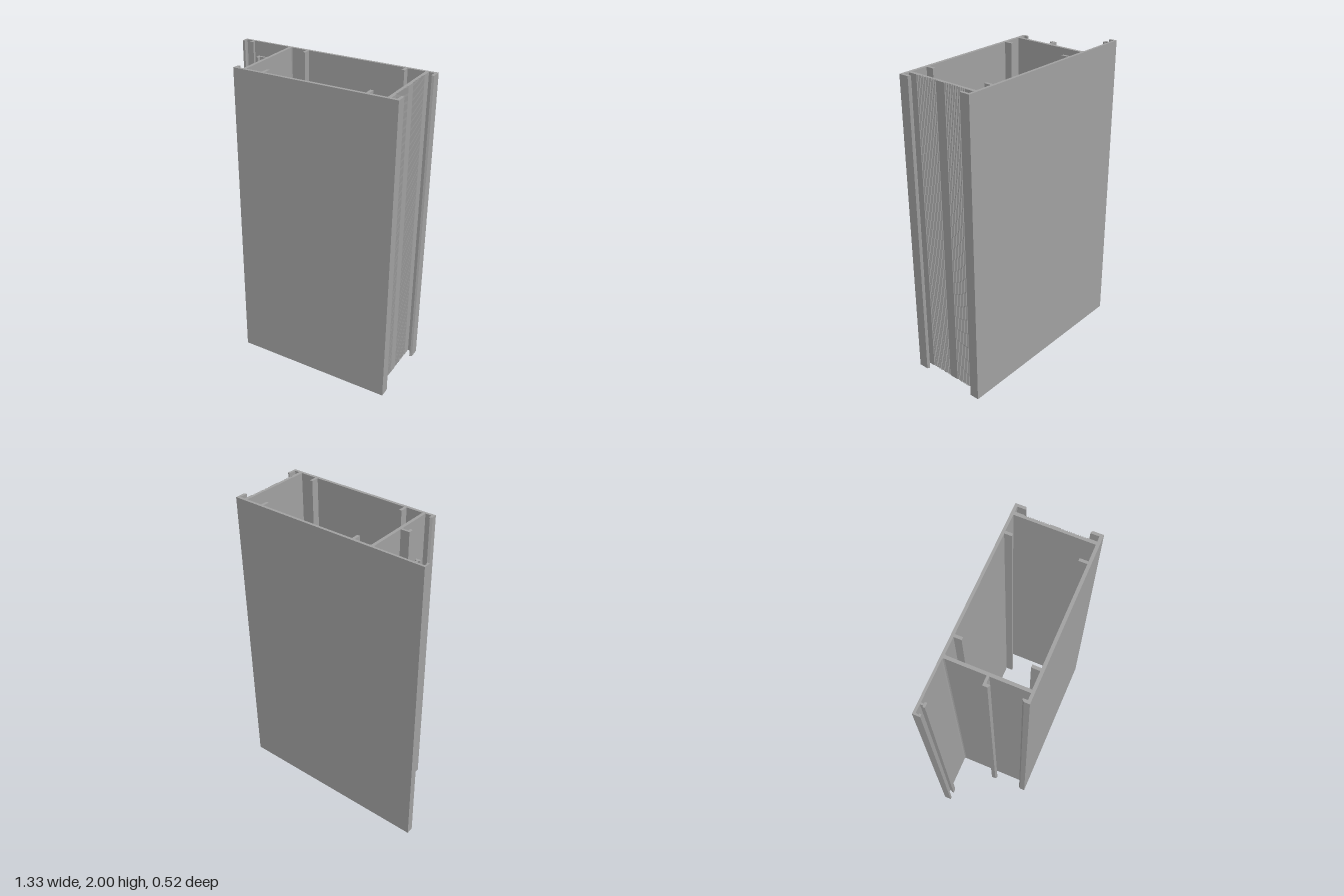
import * as THREE from 'three';

const HEIGHT = 2;

// Zigzag points for one ribbed band on the outer face of the right wall
function ribs(zStart, zEnd, count) {
  const points = [];
  const pitch = (zEnd - zStart) / count;
  for (let i = 0; i < count; i++) {
    const z = zStart + i * pitch;
    points.push([0.612, z], [0.607, z + pitch * 0.25], [0.607, z + pitch * 0.6], [0.612, z + pitch * 0.85]);
  }
  return points;
}

const toVectors = (points) => points.map(([x, z]) => new THREE.Vector2(x, z));

export function createModel() {
  const aluminium = new THREE.MeshStandardMaterial({ color: 0xa0a0a0 });
  aluminium.name = 'aluminium';

  // Outer outline of the section, as x and z
  const outline = [
    // back plate and its right lip
    [-0.664, -0.261], [0.664, -0.261], [0.664, -0.197], [0.652, -0.19], [0.646, -0.19],
    [0.646, -0.243], [0.612, -0.243],
    // ribbed right wall
    ...ribs(-0.185, -0.03, 12), ...ribs(0.03, 0.185, 12),
    // right lip and front plate
    [0.612, 0.241], [0.646, 0.241], [0.646, 0.188], [0.652, 0.188], [0.664, 0.195],
    [0.664, 0.261], [-0.39, 0.261],
    // front left hook
    [-0.39, 0.228], [-0.379, 0.216], [-0.372, 0.216], [-0.372, 0.243], [-0.332, 0.243],
    // middle hook on the left wall
    [-0.332, 0.015], [-0.372, 0.015], [-0.372, 0.037], [-0.379, 0.037], [-0.39, 0.028],
    [-0.39, 0], [-0.332, 0],
    // left wall up to the back plate
    [-0.332, -0.235], [-0.335, -0.243], [-0.343, -0.246], [-0.592, -0.246],
    // T-shaped rail
    [-0.592, -0.228], [-0.582, -0.228], [-0.582, -0.215], [-0.611, -0.215],
    [-0.611, -0.228], [-0.603, -0.228], [-0.603, -0.246],
    // back left hook
    [-0.648, -0.246], [-0.654, -0.24], [-0.654, -0.228], [-0.648, -0.228], [-0.648, -0.215], [-0.664, -0.215],
  ];

  // Inner chamber with four short fins
  const fin = (x, base, tip) => [[x - 0.009, base], [x - 0.009, tip], [x + 0.009, tip], [x + 0.009, base]];
  const chamber = [
    [-0.312, -0.237], [-0.306, -0.243],
    ...fin(-0.195, -0.243, -0.197), ...fin(0.471, -0.243, -0.197),
    [0.59, -0.243], [0.59, 0.241],
    ...fin(0.471, 0.241, 0.19).reverse(), ...fin(-0.195, 0.241, 0.19).reverse(),
    [-0.312, 0.241],
  ];

  const section = new THREE.Shape(toVectors(outline));
  section.holes.push(new THREE.Path(toVectors(chamber)));

  // Extrude the section upward
  const geometry = new THREE.ExtrudeGeometry(section, { depth: HEIGHT, bevelEnabled: false });
  geometry.rotateX(Math.PI / 2);
  geometry.translate(0, HEIGHT, 0);

  const profile = new THREE.Mesh(geometry, aluminium);
  profile.name = 'extrudedFrameProfile';

  const model = new THREE.Group();
  model.name = 'frameProfile';
  model.add(profile);
  return model;
}
